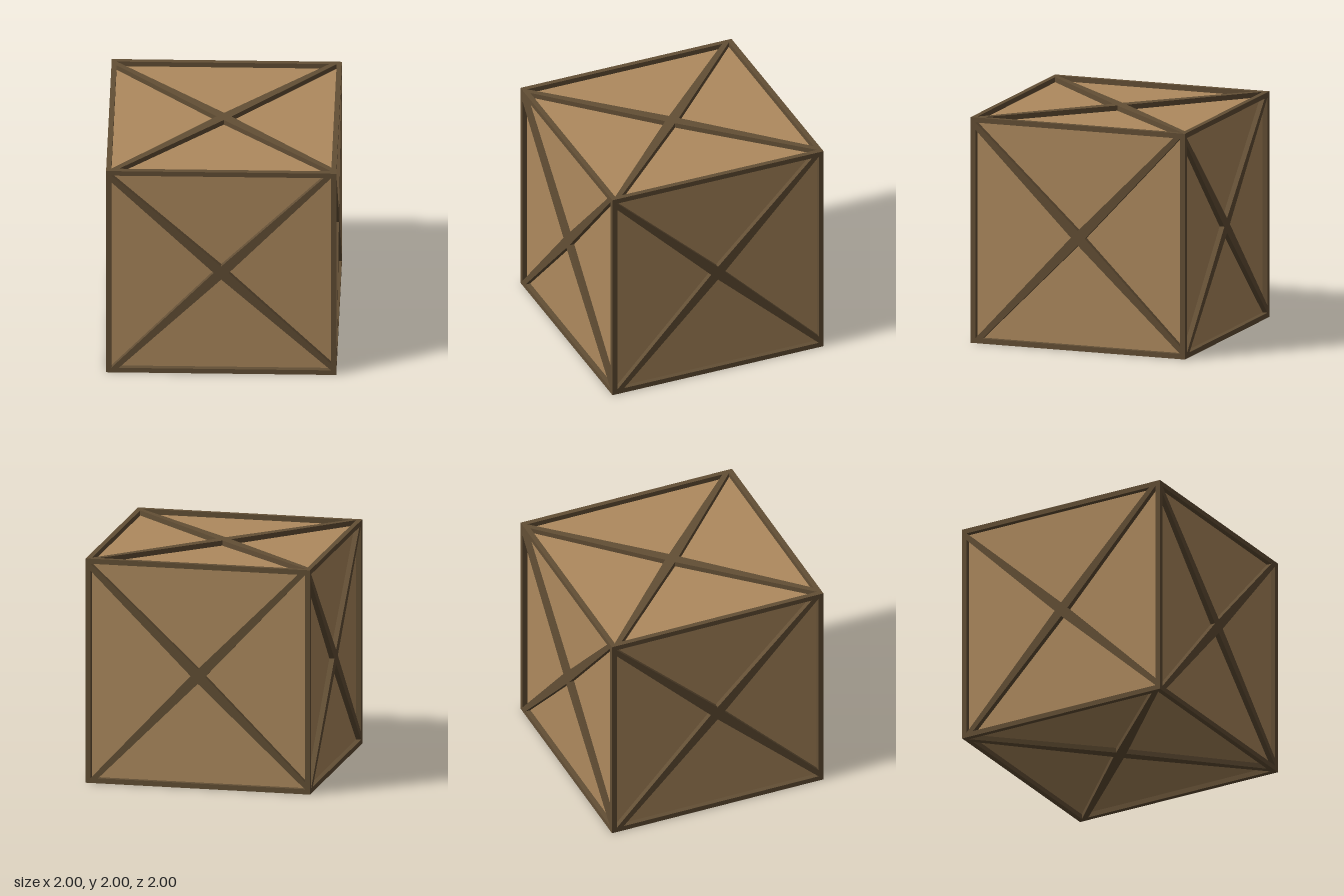
import * as THREE from 'three';

const T = 0.045;          // beam thickness and panel recess
const C = 1 - T;          // half size of the panel box
const W = 0.065;          // brace half width measured along the face axes

// X-shaped brace that fits inside the square frame
function braceGeometry() {
  const quarter = [[C, C], [C - W, C], [0, W]];
  const points = [];
  for (let i = 0; i < 4; i++) {
    for (const [x, y] of quarter) {
      points.push(new THREE.Vector2(x, y).rotateAround(new THREE.Vector2(), i * Math.PI / 2));
    }
  }
  return new THREE.ExtrudeGeometry(new THREE.Shape(points), { depth: T, bevelEnabled: false });
}

export function createModel() {
  const panelWood = new THREE.MeshStandardMaterial({ name: 'panelWood', color: 0xae8a5e });
  const frameWood = new THREE.MeshStandardMaterial({ name: 'frameWood', color: 0x634f35 });

  const crate = new THREE.Group();
  crate.name = 'crate';
  const add = (name, geometry, material) => {
    const mesh = new THREE.Mesh(geometry, material);
    mesh.name = name;
    crate.add(mesh);
    return mesh;
  };

  // recessed panels
  add('panels', new THREE.BoxGeometry(2 * C, 2 * C, 2 * C), panelWood).position.y = 1;

  // twelve edge beams, butted at the corners
  const p = 1 - T / 2;
  const inner = 2 - 2 * T;
  const post = new THREE.BoxGeometry(T, 2, T);
  const railX = new THREE.BoxGeometry(inner, T, T);
  const railZ = new THREE.BoxGeometry(T, T, inner);
  for (const a of [-1, 1]) {
    for (const b of [-1, 1]) {
      add('cornerPost', post, frameWood).position.set(a * p, 1, b * p);
      add('crossRail', railX, frameWood).position.set(0, 1 + a * p, b * p);
      add('sideRail', railZ, frameWood).position.set(a * p, 1 + b * p, 0);
    }
  }

  // a crossed brace on each of the six faces
  const brace = braceGeometry().translate(0, 0, C);
  const q = Math.PI / 2;
  const faces = {
    front: [0, 0], left: [0, q], back: [0, 2 * q], right: [0, -q], top: [-q, 0], bottom: [q, 0],
  };
  for (const [side, [rx, ry]] of Object.entries(faces)) {
    const mesh = add(side + 'Brace', brace, frameWood);
    mesh.rotation.set(rx, ry, 0);
    mesh.position.y = 1;
  }
  return crate;
}
